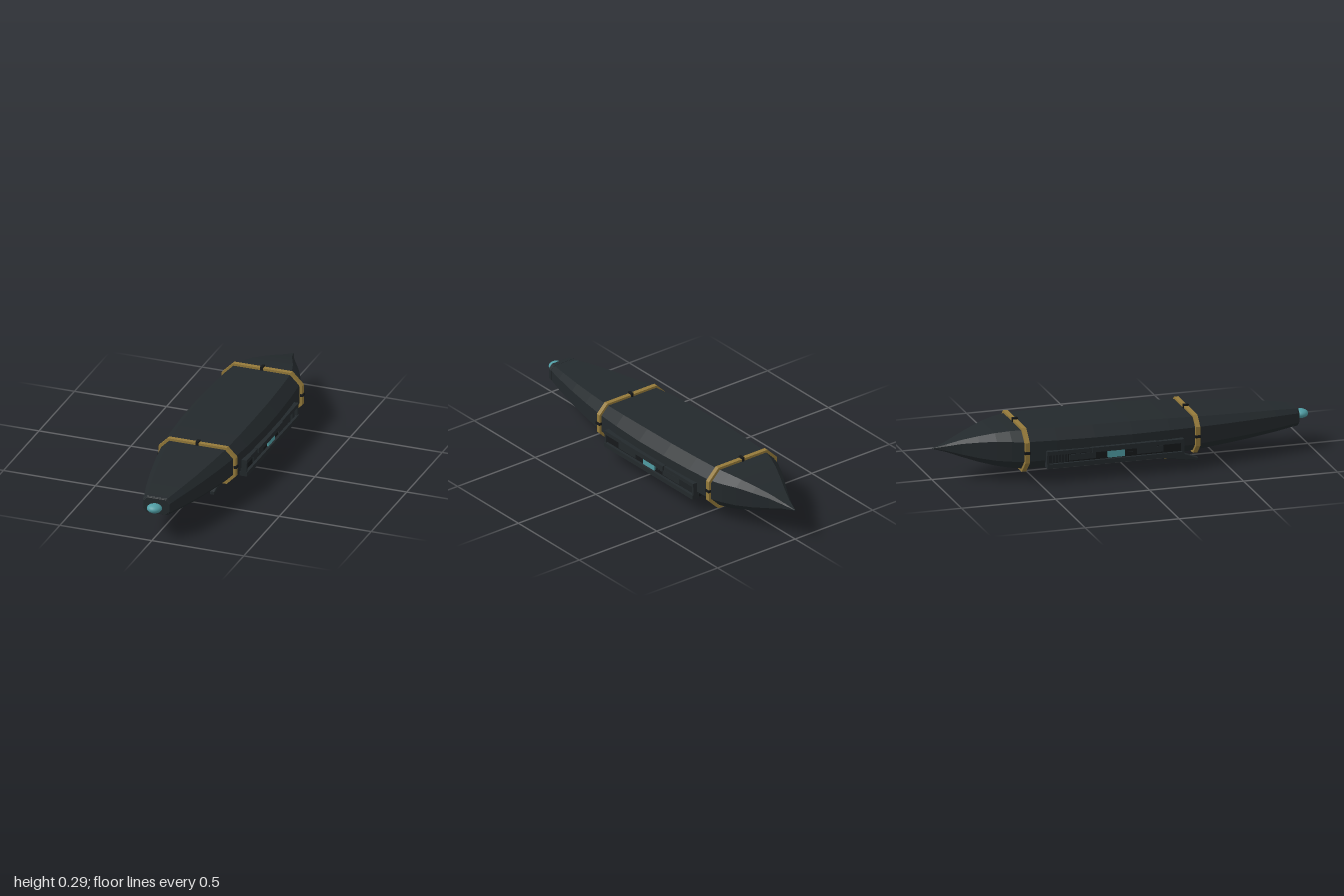
import * as THREE from 'three';

const mat = (color) => new THREE.MeshStandardMaterial({ color, flatShading: true, side: THREE.DoubleSide });
const dark = mat(0x23292c), black = mat(0x16191b), gold = mat(0x957a3a);
const teal = new THREE.MeshStandardMaterial({ color: 0x4f9ca3 });

// Chamfered rectangle, counter-clockwise seen from the front
function octagon(w, lo, hi, c) {
  return [[w, lo + c], [w, hi - c], [w - c, hi], [c - w, hi], [-w, hi - c], [-w, lo + c], [c - w, lo], [w - c, lo]];
}

// Skin over [z, halfWidth, bottom, top, chamfer] stations ordered back to front
function loft(stations) {
  const pos = [], idx = [], n = 8;
  for (const [z, w, lo, hi, c] of stations)
    for (const [x, y] of octagon(w, lo, hi, c)) pos.push(x, y, z);
  for (let i = 0; i < stations.length - 1; i++)
    for (let j = 0; j < n; j++) {
      const a = i * n + j, b = i * n + (j + 1) % n;
      idx.push(a, b, a + n, b, b + n, a + n);
    }
  const f = (stations.length - 1) * n;
  for (let j = 1; j < n - 1; j++) idx.push(f, f + j, f + j + 1, 0, j + 1, j);
  const g = new THREE.BufferGeometry();
  g.setAttribute('position', new THREE.Float32BufferAttribute(pos, 3));
  g.setIndex(idx);
  g.computeVertexNormals();
  return g;
}

function add(parent, name, geometry, material, x = 0, y = 0, z = 0) {
  const m = new THREE.Mesh(geometry, material);
  m.name = name;
  m.position.set(x, y, z);
  parent.add(m);
  return m;
}

// Box given by its limits on each axis
function box(parent, name, material, x0, x1, y0, y1, z0, z1) {
  return add(parent, name, new THREE.BoxGeometry(x1 - x0, y1 - y0, z1 - z0), material,
    (x0 + x1) / 2, (y0 + y1) / 2, (z0 + z1) / 2);
}

// Golden hoop around the hull with dark clips on its four sides
function band(parent, name, z, w, lo, hi, c) {
  const g = new THREE.Group(), t = 0.014, d = 0.024;
  g.name = name;
  const toV = (p) => p.map(([x, y]) => new THREE.Vector2(x, y));
  const shape = new THREE.Shape(toV(octagon(w, lo, hi, c)));
  shape.holes.push(new THREE.Path(toV(octagon(w - t, lo + t, hi - t, c - t * 0.41)).reverse()));
  add(g, 'hoop', new THREE.ExtrudeGeometry(shape, { depth: d, bevelEnabled: false }), gold, 0, 0, z - d / 2);
  const mid = (lo + hi) / 2;
  for (const y of [lo + 0.002, hi - 0.002])
    box(g, 'clip', black, -0.007, 0.007, y - 0.011, y + 0.011, z - 0.015, z + 0.015);
  for (const x of [-w + 0.003, w - 0.003])
    box(g, 'clip', black, x - 0.008, x + 0.008, mid - 0.007, mid + 0.007, z - 0.015, z + 0.015);
  parent.add(g);
}

// Equipment bay along one side, built on +x
function sidePod() {
  const g = new THREE.Group();
  g.name = 'sidePod';
  box(g, 'backPlate', black, 0.18, 0.222, 0.078, 0.163, -0.455, 0.265);
  box(g, 'lowerRail', dark, 0.195, 0.237, 0.075, 0.099, -0.46, 0.27);
  box(g, 'upperRail', dark, 0.2, 0.235, 0.145, 0.165, -0.46, 0.27);
  box(g, 'upperRailCap', dark, 0.2, 0.243, 0.143, 0.168, -0.22, 0.12);
  box(g, 'underRail', black, 0.17, 0.21, 0.066, 0.08, -0.42, 0.23);
  for (const [z0, z1] of [[-0.46, -0.448], [0.258, 0.27]])
    box(g, 'endPlate', dark, 0.2, 0.233, 0.08, 0.16, z0, z1);
  for (const [z0, z1] of [[-0.34, -0.2], [0.02, 0.16]])
    box(g, 'panel', dark, 0.215, 0.228, 0.107, 0.138, z0, z1);
  box(g, 'window', teal, 0.215, 0.231, 0.104, 0.14, -0.135, -0.045);
  // Cooling ribs
  for (let i = 0; i < 12; i++) {
    const z = -0.44 + i * 0.008;
    box(g, 'rib', dark, 0.215, 0.226, 0.102, 0.142, z, z + 0.004);
  }
  return g;
}

// Sloping landing skid with a gold strip
function skid(parent, x) {
  const g = new THREE.Group();
  g.name = 'landingSkid';
  const pts = [[0.38, 0.003], [0.38, 0.014], [0.22, 0.075], [-0.02, 0.085], [-0.02, 0.066], [0.18, 0.033]];
  const shape = new THREE.Shape(pts.map(([z, y]) => new THREE.Vector2(-z, y)));
  const blade = add(g, 'skidBlade', new THREE.ExtrudeGeometry(shape, {
    depth: 0.02, bevelEnabled: true, bevelSize: 0.003, bevelThickness: 0.003, bevelSegments: 1,
  }), dark, x - 0.01);
  blade.rotation.y = Math.PI / 2;
  const strip = box(g, 'skidStrip', gold, x - 0.004, x + 0.004, 0.034, 0.038, 0.03, 0.23);
  strip.position.set(x, 0.0395, 0.12);
  strip.rotation.x = 0.165;
  parent.add(g);
}

export function createModel() {
  const model = new THREE.Group();
  model.name = 'vessel';

  // Hull from pointed tail to blunt nose
  add(model, 'hull', loft([
    [-1, 0.001, 0.164, 0.166, 0.0004],
    [-0.93, 0.027, 0.146, 0.186, 0.008],
    [-0.86, 0.06, 0.122, 0.21, 0.016],
    [-0.78, 0.104, 0.098, 0.233, 0.026],
    [-0.7, 0.146, 0.08, 0.252, 0.035],
    [-0.63, 0.18, 0.069, 0.263, 0.045],
    [-0.56, 0.203, 0.063, 0.268, 0.05],
    [-0.4, 0.214, 0.063, 0.268, 0.052],
    [-0.2, 0.222, 0.063, 0.268, 0.053],
    [0, 0.222, 0.065, 0.266, 0.053],
    [0.2, 0.212, 0.07, 0.26, 0.048],
    [0.35, 0.197, 0.076, 0.252, 0.043],
    [0.5, 0.173, 0.085, 0.243, 0.038],
    [0.65, 0.144, 0.095, 0.233, 0.032],
    [0.8, 0.109, 0.107, 0.222, 0.026],
    [0.93, 0.073, 0.12, 0.209, 0.02],
  ]), dark);

  // Nose collar and lamp
  add(model, 'noseCollar', loft([
    [0.9, 0.083, 0.117, 0.213, 0.022],
    [0.925, 0.077, 0.119, 0.211, 0.021],
    [0.934, 0.07, 0.124, 0.205, 0.02],
  ]), dark);
  add(model, 'noseLamp', new THREE.SphereGeometry(1, 24, 16), teal, 0, 0.165, 0.963).scale.set(0.039, 0.023, 0.037);

  band(model, 'frontBand', 0.35, 0.21, 0.062, 0.264, 0.05);
  band(model, 'rearBand', -0.56, 0.22, 0.048, 0.28, 0.062);

  const left = sidePod(), right = sidePod();
  right.scale.x = -1;
  model.add(left, right);

  for (const x of [-0.09, 0.09]) skid(model, x);
  return model;
}
